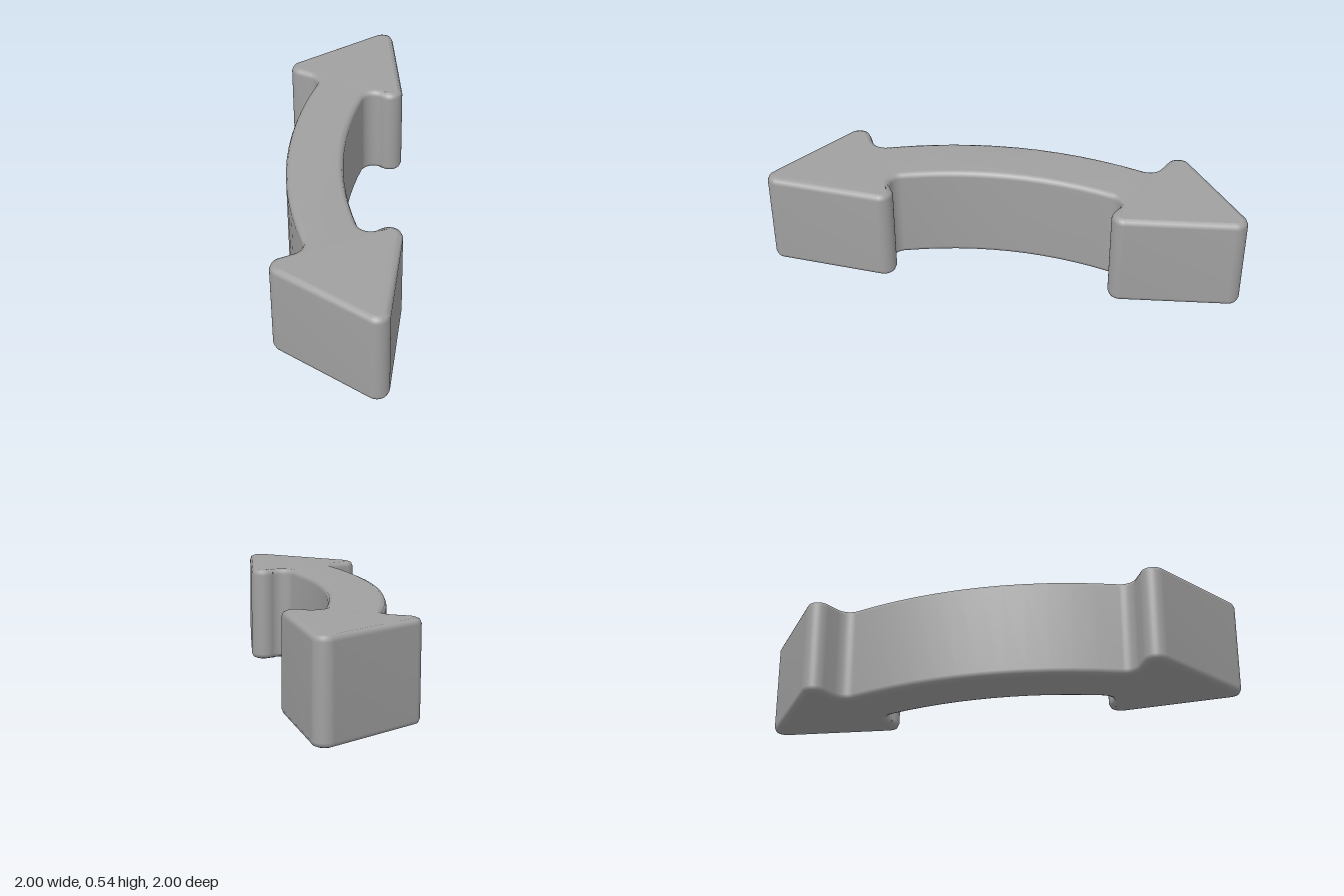
import * as THREE from 'three';
import { mergeVertices } from 'three/addons/utils/BufferGeometryUtils.js';

const HEIGHT = 0.54, BEVEL = 0.03;

// Rounded corners of one arrowhead, in plan: x, z, radius, start and end angle, clockwise
const HEAD = [
  [-0.38, -0.42, 0.07, 150, 268, false],    // inner notch
  [-0.385, -0.56, 0.07, 88, -50, true],     // inner barb
  [-0.835, -0.935, 0.065, -50, -170, true], // tip
  [-0.93, -0.37, 0.07, -170, -290, true],   // outer barb
  [-0.805, -0.26, 0.075, 250, 335, false],  // outer notch
];

// The other head is mirrored across the diagonal and walked backwards
const mirrored = HEAD.map(([x, z, r, a, b, cw]) => [-z, -x, r, 270 - b, 270 - a, cw]).reverse();

function arcStart([x, z, r, a]) {
  const t = THREE.MathUtils.degToRad(a);
  return [x + r * Math.cos(t), z + r * Math.sin(t)];
}

function addHead(shape, arcs) {
  for (const [x, z, r, a, b, cw] of arcs) {
    shape.absarc(x, z, r, THREE.MathUtils.degToRad(a), THREE.MathUtils.degToRad(b), cw);
  }
}

export function createModel() {
  const group = new THREE.Group();
  group.name = 'curvedDoubleArrow';

  // Outline: head, outer side of the shaft, other head, inner side of the shaft
  const outline = new THREE.Shape();
  outline.moveTo(...arcStart(HEAD[0]));
  addHead(outline, HEAD);
  outline.quadraticCurveTo(-0.398, 0.398, ...arcStart(mirrored[0]));
  addHead(outline, mirrored);
  outline.quadraticCurveTo(-0.155, 0.155, ...arcStart(HEAD[0]));

  // Thick slab with softly rounded edges
  const slab = new THREE.ExtrudeGeometry(outline, {
    depth: HEIGHT - 2 * BEVEL,
    curveSegments: 12,
    bevelThickness: BEVEL,
    bevelSize: BEVEL,
    bevelOffset: -BEVEL,
    bevelSegments: 2,
  });
  slab.rotateX(Math.PI / 2);
  slab.translate(0, HEIGHT - BEVEL, 0);

  // Smooth shading that flows over the edges
  slab.deleteAttribute('normal');
  slab.deleteAttribute('uv');
  const smooth = mergeVertices(slab, 1e-4);
  smooth.computeVertexNormals();

  const arrow = new THREE.Mesh(smooth, new THREE.MeshStandardMaterial({ color: 0xa0a0a0 }));
  arrow.name = 'arrowBody';
  group.add(arrow);
  return group;
}
